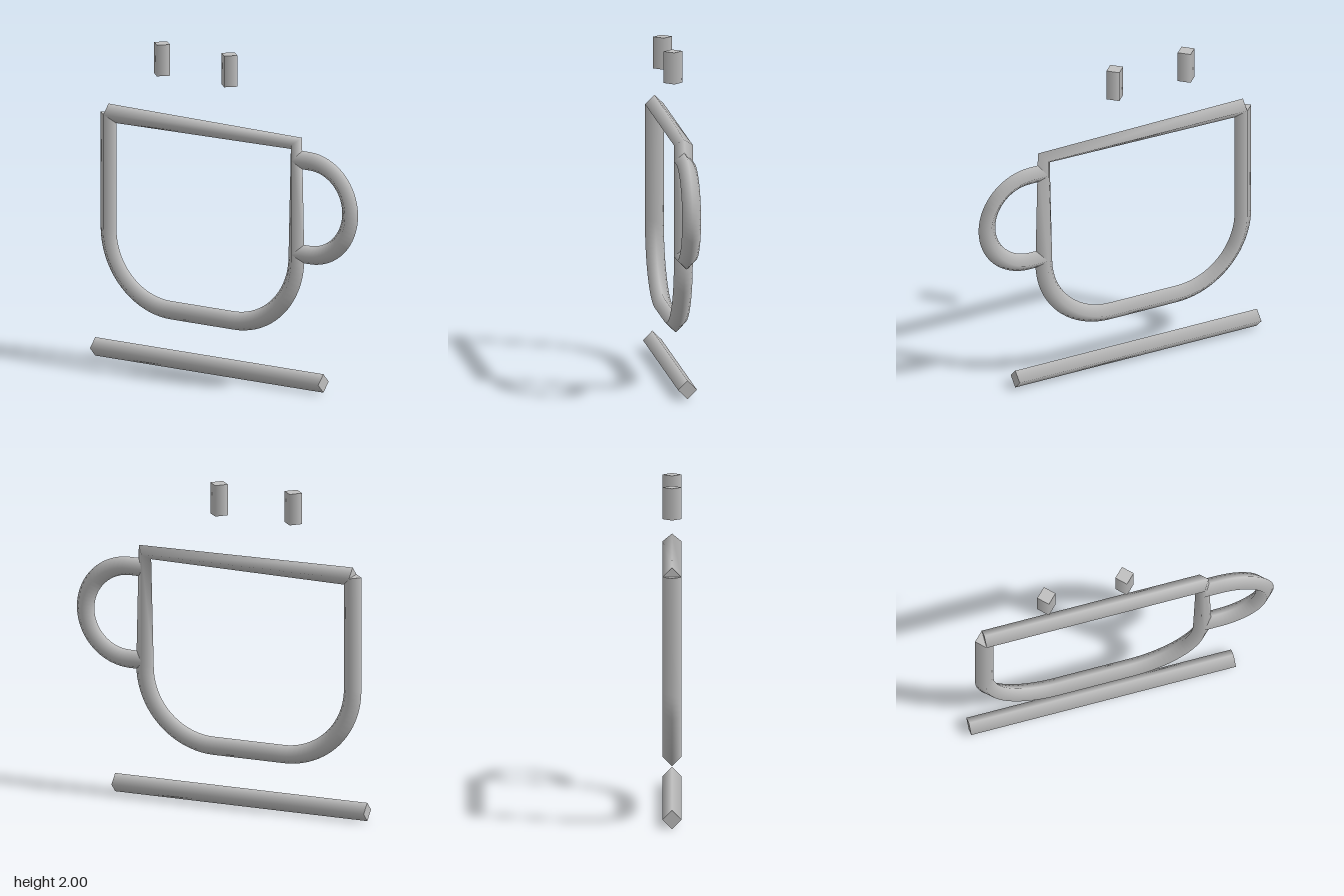
import * as THREE from 'three';

const R = 0.057; // half diagonal of the diamond section

// Sweeps a four-sided diamond along a flat path, with smooth sides and flat end caps
function diamondTube(points) {
  const pos = [], nor = [], idx = [];
  const last = points.length - 1;
  const dir = (a, b) => points[b].clone().sub(points[a]).normalize();
  const rings = points.map((p, i) => {
    const t = new THREE.Vector2();
    if (i > 0) t.add(dir(i - 1, i));
    if (i < last) t.add(dir(i, i + 1));
    t.normalize();
    return { p, t, spokes: [[-t.y, t.x, 0], [0, 0, 1], [t.y, -t.x, 0], [0, 0, -1]] };
  });
  const addRing = (ring, normal) => ring.spokes.forEach((s) => {
    pos.push(ring.p.x + s[0] * R, ring.p.y + s[1] * R, s[2] * R);
    nor.push(...(normal || s));
  });
  rings.forEach((ring) => addRing(ring));
  for (let i = 0; i < last; i++) {
    for (let j = 0; j < 4; j++) {
      const a = i * 4 + j, b = i * 4 + (j + 1) % 4;
      idx.push(a, b, a + 4, b, b + 4, a + 4);
    }
  }
  // End caps
  let k = pos.length / 3;
  addRing(rings[0], [-rings[0].t.x, -rings[0].t.y, 0]);
  idx.push(k, k + 2, k + 1, k, k + 3, k + 2);
  k += 4;
  addRing(rings[last], [rings[last].t.x, rings[last].t.y, 0]);
  idx.push(k, k + 1, k + 2, k, k + 2, k + 3);

  const geo = new THREE.BufferGeometry();
  geo.setAttribute('position', new THREE.Float32BufferAttribute(pos, 3));
  geo.setAttribute('normal', new THREE.Float32BufferAttribute(nor, 3));
  geo.setIndex(idx);
  return geo;
}

const pt = (x, y) => new THREE.Vector2(x, y);

function arc(cx, cy, r, from, to, steps) {
  return Array.from({ length: steps + 1 }, (_, i) => {
    const a = from + (to - from) * i / steps;
    return pt(cx + r * Math.cos(a), cy + r * Math.sin(a));
  });
}

export function createModel() {
  const group = new THREE.Group();
  const grey = new THREE.MeshStandardMaterial({ color: 0xc0c0c0, side: THREE.DoubleSide });
  grey.name = 'grey';
  const add = (name, points) => {
    const mesh = new THREE.Mesh(diamondTube(points), grey);
    mesh.name = name;
    group.add(mesh);
  };

  // Cup outline: down the left, round the bottom, up the right and back along the rim
  add('cupOutline', [
    pt(-0.857, 1.516),
    ...arc(-0.407, 0.807, 0.45, Math.PI, Math.PI * 1.5, 20),
    ...arc(0.05, 0.807, 0.45, -Math.PI / 2, 0, 20),
    pt(0.5, 1.516),
    pt(-0.857, 1.516),
  ]);

  // Handle
  add('handle', [
    pt(0.5, 1.418),
    ...arc(0.598, 1.128, 0.29, Math.PI / 2, -Math.PI / 2, 32),
    pt(0.5, 0.838),
  ]);

  // Saucer line
  add('saucer', [pt(-0.953, R), pt(0.695, R)]);

  // Steam strokes
  [['steamRight', -0.47], ['steamLeft', 0.016]].forEach(([name, x]) => {
    add(name, [pt(x, 1.807), pt(x, 2)]);
  });

  return group;
}
